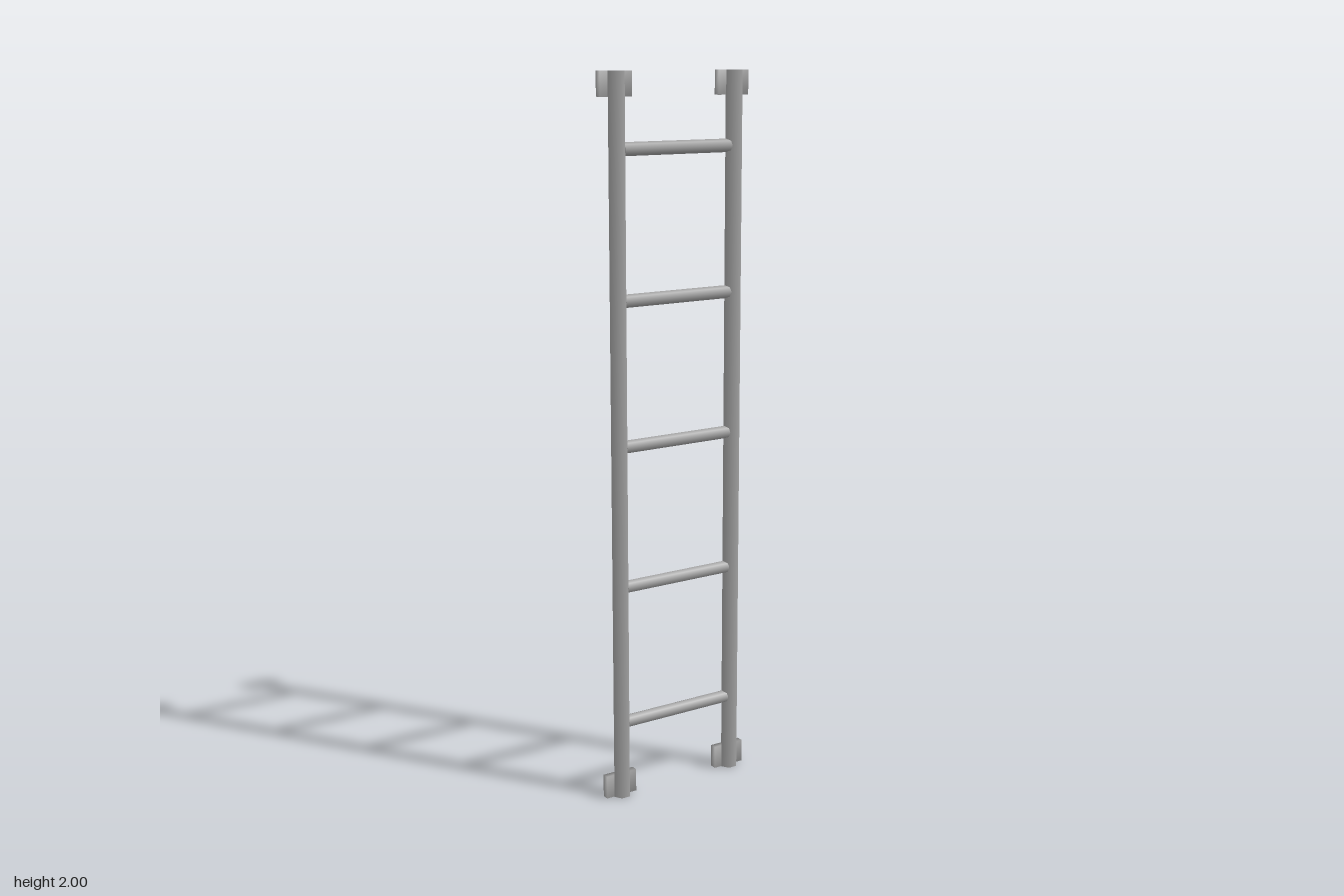
import * as THREE from 'three';
import { mergeVertices } from 'three/addons/utils/BufferGeometryUtils.js';

const HEIGHT = 2;
const RAIL_X = 0.184;

// Box whose normals are shared at the corners, for soft shading
function softBox(w, h, d) {
  const box = new THREE.BoxGeometry(w, h, d);
  box.deleteAttribute('normal');
  box.deleteAttribute('uv');
  const soft = mergeVertices(box);
  soft.computeVertexNormals();
  return soft;
}

export function createModel() {
  const ladder = new THREE.Group();
  ladder.name = 'ladder';
  const steel = new THREE.MeshStandardMaterial({ color: 0xa0a0a0 });
  steel.name = 'grey steel';

  const add = (name, geometry, x, y, z) => {
    const mesh = new THREE.Mesh(geometry, steel);
    mesh.name = name;
    mesh.position.set(x, y, z);
    ladder.add(mesh);
  };

  // Six-sided rails, flat towards the front and back
  const railGeometry = new THREE.CylinderGeometry(0.0255, 0.0255, HEIGHT, 6, 1, false, Math.PI / 6);
  railGeometry.scale(1, 1, 0.94);

  // Mounting plates behind both ends of each rail
  const plateHeight = 0.065;
  const plateGeometry = softBox(0.096, plateHeight, 0.0195);

  for (const [side, label] of [[1, 'left'], [-1, 'right']]) {
    add(label + 'Rail', railGeometry, side * RAIL_X, HEIGHT / 2, 0);
    add(label + 'TopPlate', plateGeometry, side * RAIL_X, HEIGHT - plateHeight / 2, -0.0117);
    add(label + 'BottomPlate', plateGeometry, side * RAIL_X, plateHeight / 2, -0.0117);
  }

  // Evenly spaced rungs
  const rungGeometry = new THREE.CylinderGeometry(0.018, 0.018, 0.336, 8);
  rungGeometry.rotateZ(Math.PI / 2);
  for (let i = 0; i < 5; i++) {
    add('rung' + (i + 1), rungGeometry, 0, 0.22 + i * 0.3955, 0);
  }

  return ladder;
}
